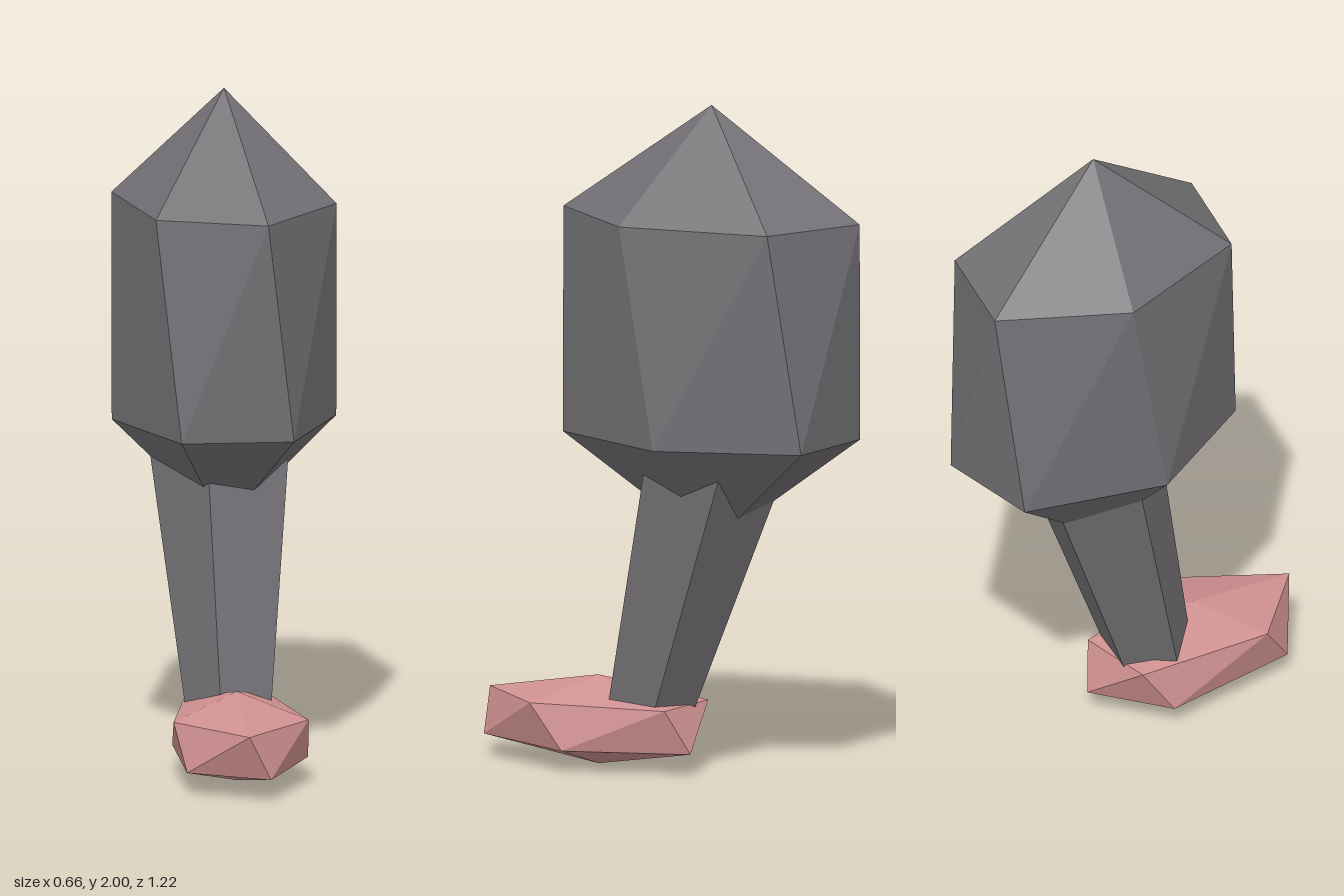
import * as THREE from 'three';

const grey = new THREE.MeshStandardMaterial({ name: 'dark grey', color: 0x737175, flatShading: true });
const pink = new THREE.MeshStandardMaterial({ name: 'dusty pink', color: 0xcf9090, flatShading: true });

// Skins faceted elliptical rings from bottom to top; a ring of radius 0 is a pole.
// turn is the angle in degrees of the first corner, from +z towards +x.
function loft(name, sides, rings, material) {
  const corner = ({ y, z, rx, rz, turn = 0 }, k) => {
    const a = THREE.MathUtils.degToRad(turn + (360 / sides) * k);
    return [rx * Math.sin(a), y, z + rz * Math.cos(a)];
  };
  const positions = [];
  for (let i = 0; i < rings.length - 1; i++) {
    const low = rings[i], high = rings[i + 1];
    for (let k = 0; k < sides; k++) {
      if (low.rx > 0) positions.push(...corner(low, k), ...corner(low, k + 1), ...corner(high, k + 1));
      if (high.rx > 0) positions.push(...corner(low, k), ...corner(high, k + 1), ...corner(high, k));
    }
  }
  const geometry = new THREE.BufferGeometry();
  geometry.setAttribute('position', new THREE.Float32BufferAttribute(positions, 3));
  geometry.computeVertexNormals();
  const mesh = new THREE.Mesh(geometry, material);
  mesh.name = name;
  return mesh;
}

// Faceted pebble: two poles and two rings, the upper one twisted against the lower.
function pebble(name, sides, { bottom, top, z, rx, rz, lowTurn, highTurn }, material) {
  const quarter = (top - bottom) / 4;
  return loft(name, sides, [
    { y: bottom, z, rx: 0, rz: 0 },
    { y: bottom + quarter, z, rx, rz, turn: lowTurn },
    { y: top - quarter, z, rx, rz, turn: highTurn },
    { y: top, z, rx: 0, rz: 0 },
  ], material);
}

export function createModel() {
  const group = new THREE.Group();
  group.name = 'leg';

  // Bulky upper part
  group.add(pebble('thigh', 6,
    { bottom: 0.685, top: 2, z: -0.155, rx: 0.332, rz: 0.475, lowTurn: 30, highTurn: 15 }, grey));

  // Slanted five-sided shank, widening upwards, its ends buried in thigh and foot
  group.add(loft('shank', 5, [
    { y: 0.12, z: 0.077, rx: 0, rz: 0 },
    { y: 0.12, z: 0.077, rx: 0.128, rz: 0.128, turn: -18 },
    { y: 1.05, z: -0.198, rx: 0.235, rz: 0.235, turn: -18 },
    { y: 1.05, z: -0.198, rx: 0, rz: 0 },
  ], grey));

  // Flat foot pointing forwards
  group.add(pebble('foot', 5,
    { bottom: 0, top: 0.265, z: 0.235, rx: 0.21, rz: 0.375, lowTurn: 18, highTurn: 0 }, pink));

  return group;
}
